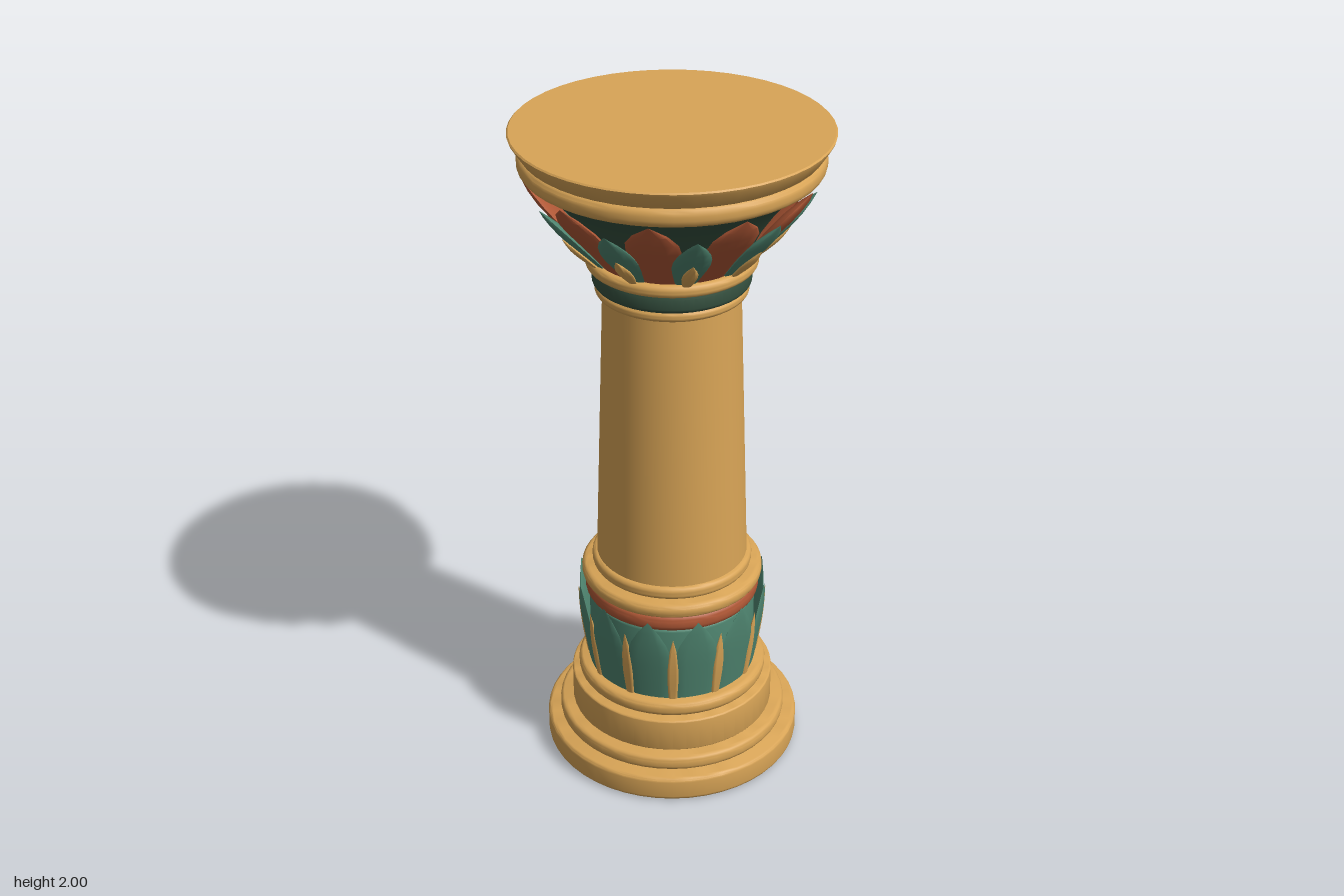
import * as THREE from 'three';
import { toCreasedNormals } from 'three/addons/utils/BufferGeometryUtils.js';

const material = (name, color) => {
  const m = new THREE.MeshStandardMaterial({ color });
  m.name = name;
  return m;
};

export function createModel() {
  const model = new THREE.Group();
  model.name = 'column';
  const sand = material('sandstone', 0xd8a456);
  const red = material('terracotta', 0xb05836);
  const teal = material('teal', 0x4f8570);
  const dark = material('darkGreen', 0x35503f);

  // Turned solid from [radius, height] pairs
  function turned(name, mat, pairs) {
    const points = pairs.map(([r, y]) => new THREE.Vector2(r, y));
    const mesh = new THREE.Mesh(toCreasedNormals(new THREE.LatheGeometry(points, 48), 0.6), mat);
    mesh.name = name;
    model.add(mesh);
  }

  // Disc with rounded rims
  function ring(name, mat, y0, y1, radius, bevel) {
    const pairs = [[0, y0]];
    for (let i = 0; i <= 4; i++) {
      const a = (i / 4) * Math.PI / 2;
      pairs.push([radius - bevel + bevel * Math.sin(a), y0 + bevel - bevel * Math.cos(a)]);
    }
    for (let i = 0; i <= 4; i++) {
      const a = (i / 4) * Math.PI / 2;
      pairs.push([radius - bevel + bevel * Math.cos(a), y1 - bevel + bevel * Math.sin(a)]);
    }
    pairs.push([0, y1]);
    turned(name, mat, pairs);
  }

  // Circle of lens-shaped petals leaning outward; widths are half widths from foot to tip
  function petals(name, mat, count, offset, { y0, y1, r0, r1, thick, widths }) {
    const rows = widths.length - 1;
    const widest = Math.max(...widths);
    const geometry = new THREE.CylinderGeometry(1, 1, 1, 12, rows, true);
    const p = geometry.attributes.position;
    for (let i = 0; i < p.count; i++) {
      const t = p.getY(i) + 0.5;
      const w = Math.max(widths[Math.round(t * rows)], 0.0005);
      p.setXYZ(i, p.getX(i) * w,
        THREE.MathUtils.lerp(y0, y1, t),
        THREE.MathUtils.lerp(r0, r1, t) + p.getZ(i) * thick * w / widest);
    }
    const shaped = toCreasedNormals(geometry, 0.9);
    const group = new THREE.Group();
    group.name = name + 's';
    for (let i = 0; i < count; i++) {
      const mesh = new THREE.Mesh(shaped, mat);
      mesh.name = name;
      mesh.rotation.y = (i + offset) * Math.PI * 2 / count;
      group.add(mesh);
    }
    model.add(group);
  }

  // Stepped base
  ring('plinth', sand, 0, 0.08, 0.388, 0.014);
  ring('plinthStep', sand, 0.08, 0.127, 0.348, 0.016);
  ring('baseDrum', sand, 0.127, 0.235, 0.308, 0.006);
  ring('baseRing', sand, 0.235, 0.282, 0.287, 0.018);

  // Leaf collar
  ring('collarCore', teal, 0.28, 0.53, 0.25, 0.012);
  petals('collarLeaf', teal, 12, 0, {
    y0: 0.284, y1: 0.573, r0: 0.246, r1: 0.286, thick: 0.01,
    widths: [0.058, 0.062, 0.065, 0.067, 0.066, 0.054, 0.032, 0],
  });
  petals('collarSliver', sand, 12, 0.5, {
    y0: 0.284, y1: 0.515, r0: 0.254, r1: 0.284, thick: 0.009,
    widths: [0.013, 0.016, 0.018, 0.018, 0.015, 0.009, 0],
  });
  ring('collarBand', red, 0.527, 0.582, 0.262, 0.02);
  ring('collarRing', sand, 0.58, 0.625, 0.271, 0.018);
  ring('shaftFootRing', sand, 0.625, 0.666, 0.239, 0.016);

  // Tapered shaft
  turned('shaft', sand, [[0.225, 0.65], [0.195, 1.53]]);

  // Neck rings
  ring('lowerNeckRing', sand, 1.52, 1.553, 0.217, 0.014);
  ring('neckBand', dark, 1.55, 1.608, 0.224, 0.014);
  ring('upperNeckRing', sand, 1.604, 1.642, 0.242, 0.016);

  // Flared capital with petals
  turned('capitalBell', dark, [
    [0.205, 1.635], [0.225, 1.67], [0.255, 1.73], [0.295, 1.79], [0.345, 1.85], [0.39, 1.895],
  ]);
  petals('redPetal', red, 10, 0.5, {
    y0: 1.64, y1: 1.89, r0: 0.208, r1: 0.414, thick: 0.02,
    widths: [0.054, 0.058, 0.063, 0.069, 0.074, 0.071, 0.048, 0],
  });
  petals('greenPetal', teal, 10, 0, {
    y0: 1.645, y1: 1.838, r0: 0.225, r1: 0.396, thick: 0.018,
    widths: [0.03, 0.038, 0.046, 0.052, 0.052, 0.044, 0.027, 0],
  });
  petals('goldPetal', sand, 10, 0, {
    y0: 1.642, y1: 1.742, r0: 0.238, r1: 0.332, thick: 0.014,
    widths: [0.012, 0.018, 0.022, 0.021, 0.013, 0],
  });

  // Crown
  ring('crownRing', sand, 1.89, 1.946, 0.421, 0.022);
  turned('abacus', sand, [
    [0, 1.943], [0.408, 1.943], [0.414, 1.947], [0.441, 1.988], [0.444, 1.996], [0.44, 2], [0, 2],
  ]);

  return model;
}
